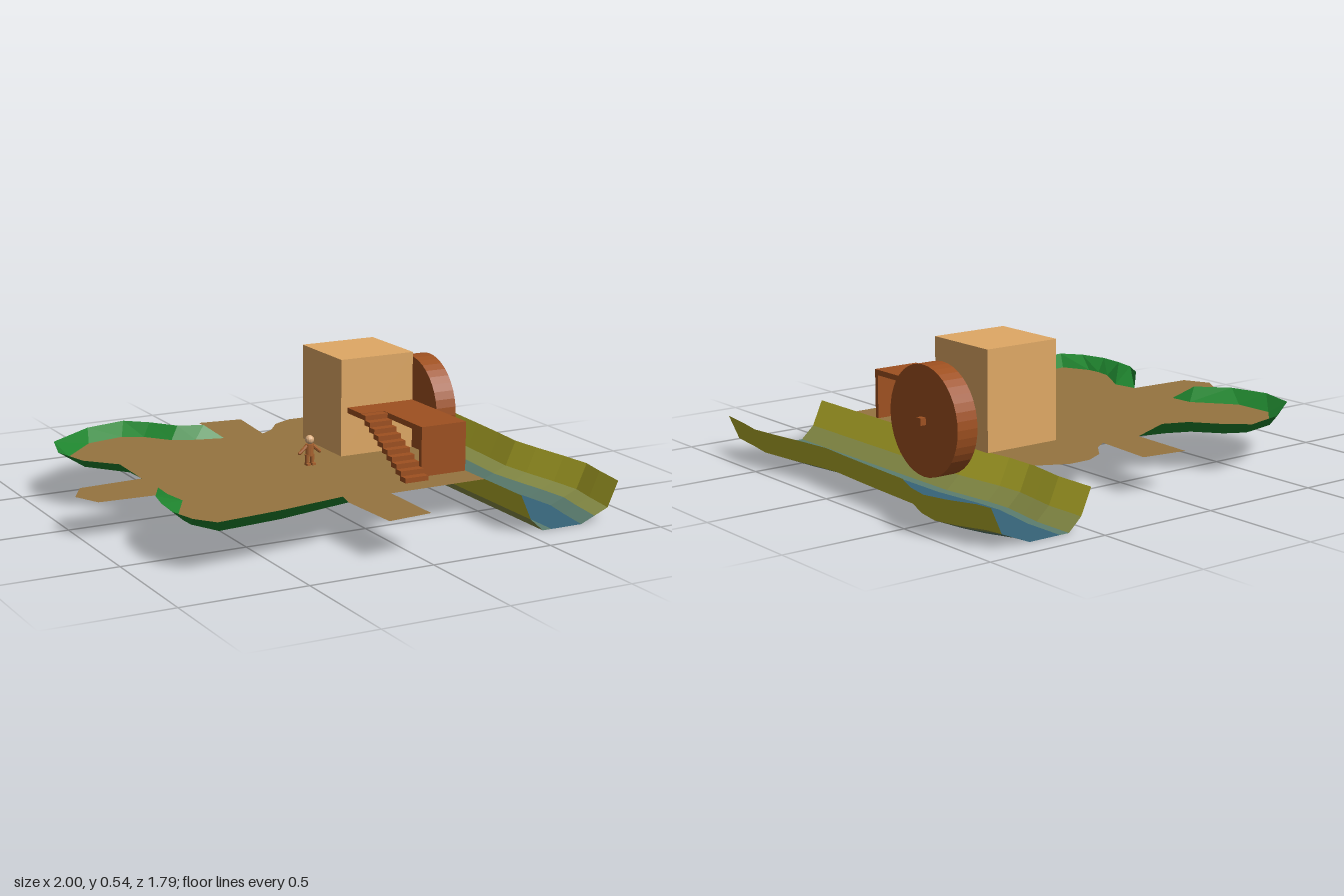
import * as THREE from 'three';

const mat = (name, color, side = THREE.FrontSide) => {
  const m = new THREE.MeshStandardMaterial({ color, side });
  m.name = name;
  m.flatShading = true;
  return m;
};

export function createModel() {
  const D = THREE.DoubleSide;
  const earth = mat('earth', 0x957440, D);
  const plaster = mat('plaster', 0xdfa865);
  const wood = mat('wood', 0x9e5020);
  const hedgeGreen = mat('hedgeGreen', 0x1f842e, D);
  const olive = mat('olive', 0xb5af2a, D);
  const moss = mat('moss', 0x8a9048, D);
  const shallow = mat('shallow', 0x5c7e70, D);
  const water = mat('water', 0x366478, D);
  const cloth = mat('cloth', 0xa8622f);
  const skin = mat('skin', 0xdcae80);

  const model = new THREE.Group();
  const add = (name, geometry, material, parent = model) => {
    const m = new THREE.Mesh(geometry, material);
    m.name = name;
    parent.add(m);
    return m;
  };
  // box given by its lower and upper corners
  const box = (name, lo, hi, material, parent = model) => {
    const m = add(name, new THREE.BoxGeometry(hi[0] - lo[0], hi[1] - lo[1], hi[2] - lo[2]), material, parent);
    m.position.set((lo[0] + hi[0]) / 2, (lo[1] + hi[1]) / 2, (lo[2] + hi[2]) / 2);
    return m;
  };
  // strip of quads between two rows of [x, y, z] points
  const strip = (name, a, b, material) => {
    const pos = [];
    for (let i = 0; i + 1 < a.length; i++) {
      pos.push(...a[i], ...a[i + 1], ...b[i], ...b[i], ...a[i + 1], ...b[i + 1]);
    }
    const g = new THREE.BufferGeometry();
    g.setAttribute('position', new THREE.Float32BufferAttribute(pos, 3));
    g.computeVertexNormals();
    return add(name, g, material);
  };

  const G = 0.15; // ground level

  // Hedges: rows of [inner x, inner z, outer x, outer z], flaring outward
  const frontHedge = [
    [-0.135, 0.612, -0.2, 0.687], [-0.45, 0.685, -0.47, 0.737], [-0.71, 0.715, -0.74, 0.768],
    [-0.765, 0.6, -0.8, 0.69], [-0.768, 0.54, -0.828, 0.575], [-0.755, 0.465, -0.82, 0.465],
    [-0.665, 0.305, -0.8, 0.365], [-0.68, 0.2, -0.745, 0.265],
  ];
  const backHedge = [
    [-0.68, -0.04, -0.745, -0.1], [-0.685, -0.14, -0.85, -0.215], [-0.81, -0.3, -0.89, -0.375],
    [-0.81, -0.47, -0.845, -0.54], [-0.66, -0.63, -0.64, -0.69], [-0.5, -0.665, -0.465, -0.73],
    [-0.42, -0.62, -0.38, -0.655], [-0.34, -0.52, -0.3, -0.55], [-0.25, -0.48, -0.2, -0.51],
    [-0.135, -0.45, -0.135, -0.45],
  ];
  for (const [name, rows] of [['frontHedge', frontHedge], ['backHedge', backHedge]]) {
    strip(name, rows.map(r => [r[0], G, r[1]]), rows.map(r => [r[2], r[0] === r[2] ? G : 0.2, r[3]]), hedgeGreen);
  }

  // Clearing with three paths leading away
  const outline = [
    [0.48, 0.575], [0.065, 0.58], [0.065, 0.87], [-0.12, 0.89],
    ...frontHedge.map(r => [r[0], r[1]]),
    [-0.95, 0.185], [-1, 0.08], [-0.94, -0.025],
    ...backHedge.map(r => [r[0], r[1]]),
    [-0.12, -0.73], [0.065, -0.705], [0.04, -0.445], [0.1, -0.485], [0.16, -0.565],
    [0.245, -0.61], [0.34, -0.61], [0.455, -0.55], [0.455, -0.4], [0.48, -0.2],
  ];
  const ground = new THREE.ShapeGeometry(new THREE.Shape(outline.map(p => new THREE.Vector2(p[0], -p[1]))));
  ground.rotateX(-Math.PI / 2);
  add('clearing', ground, earth).position.y = G;

  // River channel: each row is z, left bank x, right bank x
  const rows = [
    [-0.9, 0.48, 0.92], [-0.83, 0.48, 0.93], [-0.72, 0.48, 0.975], [-0.62, 0.465, 1], [-0.515, 0.45, 0.98],
    [-0.4, 0.455, 0.935], [-0.18, 0.48, 0.925], [0, 0.48, 0.915], [0.14, 0.48, 0.905], [0.27, 0.48, 0.92],
    [0.43, 0.48, 0.945], [0.565, 0.48, 0.96], [0.68, 0.48, 0.94], [0.83, 0.48, 0.92],
  ];
  // cross-section: side, offset from that bank, height, material of the band that follows
  const section = [
    [1, 0, 0.15, olive], [1, 0.045, 0.05, moss], [1, 0.1, 0, shallow], [1, 0.14, 0, water],
    [2, -0.165, 0, shallow], [2, -0.105, 0.025, moss], [2, -0.045, 0.05, olive], [2, 0, 0.15],
  ];
  const line = ([side, off, y]) => rows.map(r => [r[side] + off, y, r[0]]);
  for (let i = 0; i + 1 < section.length; i++) {
    strip('riverBand' + i, line(section[i]), line(section[i + 1]), section[i][3]);
  }

  // Mill house with raised porch
  box('house', [0.152, G, -0.3], [0.478, 0.543, 0.028], plaster);
  box('porchDeck', [0.28, 0.325, 0.028], [0.478, 0.347, 0.437], wood);
  box('porchFrontWall', [0.28, G, 0.419], [0.478, 0.325, 0.437], wood);
  box('stairLanding', [0.18, 0.325, 0.028], [0.28, 0.347, 0.14], wood);

  // Stairs
  const stairs = new THREE.Group();
  stairs.name = 'stairs';
  model.add(stairs);
  for (let i = 0; i < 10; i++) {
    const z = 0.49 - i * 0.035, y = G + i * 0.0195;
    box('step', [0.18, y, z - 0.042], [0.28, y + 0.0195, z], wood, stairs);
  }

  // Water wheel and axle
  const wheel = add('waterWheel', new THREE.CylinderGeometry(0.214, 0.214, 0.09, 40), wood);
  wheel.rotation.z = Math.PI / 2;
  wheel.position.set(0.615, 0.272, -0.146);
  box('axle', [0.47, 0.259, -0.161], [0.683, 0.287, -0.133], wood);

  // Small standing figure
  const figure = new THREE.Group();
  figure.name = 'figure';
  figure.position.set(-0.015, G, 0.077);
  model.add(figure);
  add('head', new THREE.SphereGeometry(0.018, 14, 10), skin, figure).position.y = 0.101;
  const torso = add('torso', new THREE.CylinderGeometry(0.018, 0.016, 0.048, 10), cloth, figure);
  torso.position.y = 0.06;
  torso.scale.z = 0.8;
  for (const s of [-1, 1]) {
    const leg = add('leg', new THREE.CylinderGeometry(0.01, 0.008, 0.042, 8), cloth, figure);
    leg.position.set(s * 0.011, 0.021, 0);
    const arm = add('arm', new THREE.CylinderGeometry(0.008, 0.007, 0.042, 8), cloth, figure);
    arm.position.set(s * 0.028, 0.064, 0);
    arm.rotation.z = s * 0.85;
    add('hand', new THREE.SphereGeometry(0.007, 8, 6), cloth, figure).position.set(s * 0.044, 0.05, 0);
    box('foot', [s * 0.011 - 0.008, 0, -0.008], [s * 0.011 + 0.008, 0.009, 0.018], cloth, figure);
  }
  return model;
}
